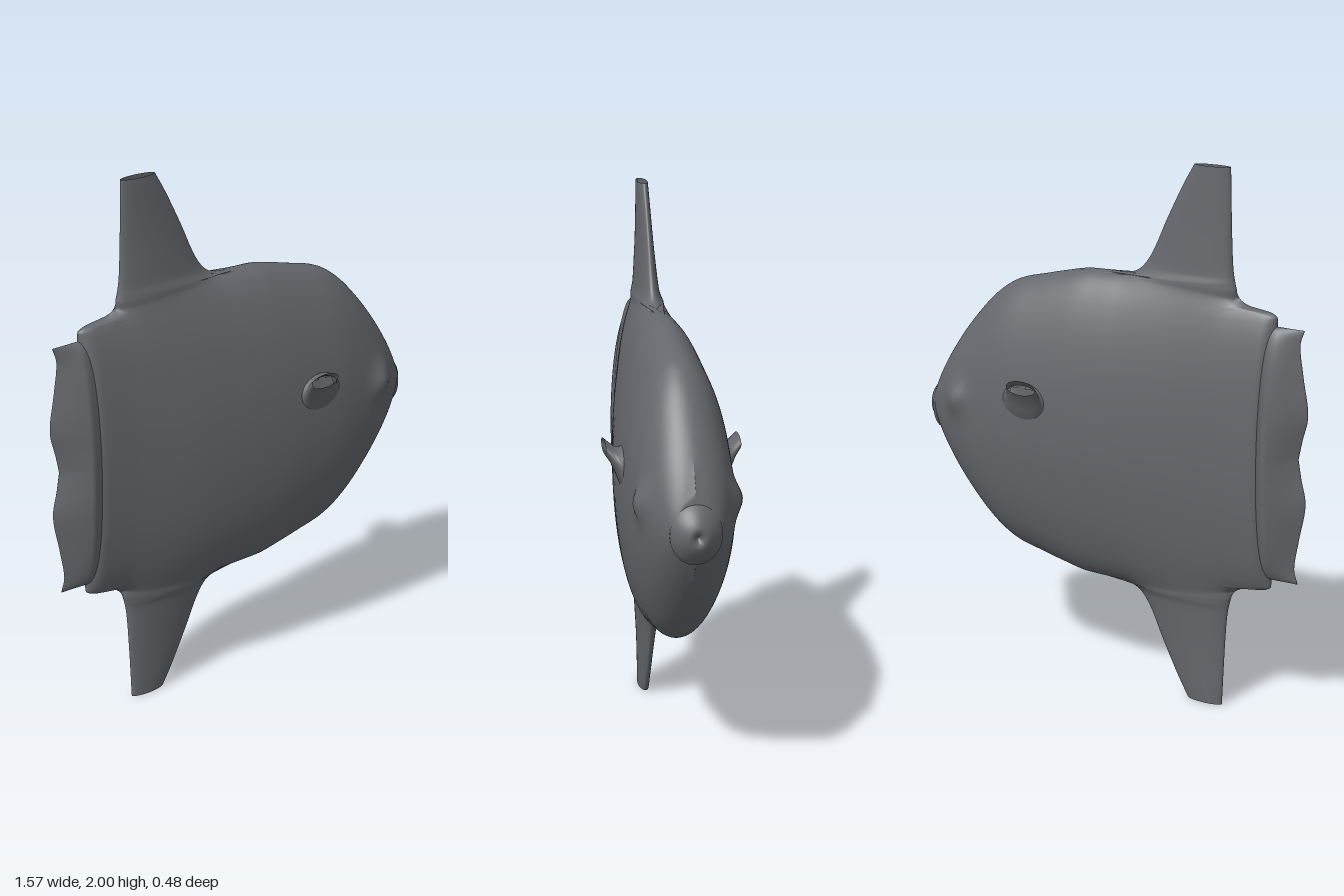
import * as THREE from 'three';

// Smooth monotone curve through [t, value] pairs
function curve(pts) {
  const n = pts.length;
  const slope = i => (pts[i + 1][1] - pts[i][1]) / (pts[i + 1][0] - pts[i][0]);
  const m = pts.map((_, i) => {
    if (i === 0) return slope(0);
    if (i === n - 1) return slope(n - 2);
    const a = slope(i - 1), b = slope(i);
    return a * b > 0 ? 2 * a * b / (a + b) : 0;
  });
  return t => {
    if (t <= pts[0][0]) return pts[0][1];
    if (t >= pts[n - 1][0]) return pts[n - 1][1];
    let i = 0;
    while (t > pts[i + 1][0]) i++;
    const h = pts[i + 1][0] - pts[i][0], s = (t - pts[i][0]) / h;
    return pts[i][1] * (1 + 2 * s) * (1 - s) ** 2 + m[i] * h * s * (1 - s) ** 2
      + pts[i + 1][1] * s * s * (3 - 2 * s) + m[i + 1] * h * s * s * (s - 1);
  };
}

// Joins closed rings of [x, y, z]; skip(x, y) leaves a quad open
function loft(rings, skip = () => false) {
  const n = rings[0].length, index = [];
  for (let j = 0; j < rings.length - 1; j++) {
    for (let i = 0; i < n; i++) {
      const k = (i + 1) % n;
      const p = rings[j][i], q = rings[j + 1][k];
      if (skip((p[0] + q[0]) / 2, (p[1] + q[1]) / 2)) continue;
      const a = j * n + i, b = j * n + k;
      index.push(a, b, b + n, a, b + n, a + n);
    }
  }
  const geo = new THREE.BufferGeometry();
  geo.setAttribute('position', new THREE.Float32BufferAttribute(rings.flat(2), 3));
  geo.setIndex(index);
  geo.computeVertexNormals();
  return geo;
}

// Outline and thickness, by distance d from the mid height or by x
const backEdge = curve([[0, -0.66], [0.495, -0.66], [0.51, -0.64], [0.52, -0.56], [0.54, -0.52],
  [0.56, -0.505], [0.6, -0.493], [0.66, -0.484], [0.8, -0.477], [1, -0.47]]);
const frontEdge = curve([[0, 0.75], [0.11, 0.73], [0.25, 0.65], [0.38, 0.55], [0.46, 0.47], [0.5, 0.41],
  [0.52, 0.36], [0.54, 0.28], [0.56, 0.2], [0.582, 0.08], [0.588, -0.07], [0.6, -0.105],
  [0.62, -0.13], [0.66, -0.16], [0.8, -0.225], [0.94, -0.295], [1, -0.33]]);
const bodyHeight = curve([[-0.66, 0.515], [-0.5, 0.545], [-0.3, 0.573], [-0.1, 0.586], [0.08, 0.583],
  [0.2, 0.56], [0.28, 0.54], [0.36, 0.52], [0.41, 0.5], [0.47, 0.46], [0.55, 0.38],
  [0.65, 0.25], [0.73, 0.11], [0.75, 0.05]]);
const bodyWidth = curve([[-0.66, 0.075], [-0.4, 0.11], [-0.2, 0.145], [0, 0.172], [0.2, 0.187],
  [0.35, 0.19], [0.5, 0.178], [0.6, 0.157], [0.66, 0.135], [0.73, 0.09], [0.76, 0.05]]);
const finWidth = curve([[0, 0.055], [0.58, 0.052], [0.62, 0.042], [0.7, 0.035], [0.8, 0.028], [1, 0.02]]);

function thickness(x, y, d, back, front) {
  const edge = Math.min(1, (x - back) / 0.05);
  const round = Math.sqrt(Math.max(0, 1 - (1 - edge) ** 2));
  const body = bodyWidth(x) * Math.sqrt(Math.max(0, 1 - (d / bodyHeight(x)) ** 2)) * round;
  const f0 = Math.max(back, -0.5), f1 = Math.min(front, -0.07);
  const s = (2 * x - f0 - f1) / (f1 - f0);
  const fin = finWidth(d) * Math.sqrt(Math.max(0, 1 - s * s));
  const eye = 0.03 * Math.exp(-(((x - 0.585) / 0.045) ** 2) - ((y - 1.06) / 0.06) ** 2);
  return Math.cbrt(body ** 3 + fin ** 3) + eye;
}

// Body with upper and lower fins, stacked in horizontal sections
function bodyGeometry() {
  const half = [];
  for (const [from, to, n] of [[1, 0.64, 14], [0.64, 0.48, 36], [0.48, 0, 26]]) {
    for (let i = 0; i < n; i++) half.push(from + (to - from) * i / n);
  }
  const heights = [...half.map(d => 1 - d), 1, ...half.map(d => 1 + d).reverse()];
  const N = 72;
  const rings = heights.map(y => {
    const d = Math.abs(y - 1), b = backEdge(d), f = frontEdge(d), ring = [];
    for (let i = 0; i < 2 * N; i++) {
      const x = b + (f - b) * (1 - Math.cos(Math.PI * i / N)) / 2;
      const z = i % N === 0 ? 0 : thickness(x, y, d, b, f);
      ring.push([x, y, i < N ? z : -z]);
    }
    return ring;
  });
  // openings behind the side fins
  return loft(rings, (x, y) => ((x - 0.265) / 0.06) ** 2 + ((y - 1.105) / 0.055) ** 2 < 1);
}

// Wavy wedge along the rear edge
function tailGeometry() {
  const wave = curve([[0, -0.755], [0.07, -0.768], [0.16, -0.787], [0.3, -0.765], [0.41, -0.75], [0.465, -0.765]]);
  const rings = [];
  for (let j = 0; j <= 64; j++) {
    const t = Math.sin((j / 64 - 0.5) * Math.PI), d = Math.abs(t) * 0.465;
    const tip = wave(d), z = 0.083 * Math.sqrt(Math.max(0, 1 - t * t));
    const side = [[tip + 0.004, z * 0.08], [(tip - 0.66) / 2, z * 0.57], [-0.672, z], [-0.655, z], [-0.61, z * 0.85]];
    const y = 1 + t * 0.465;
    rings.push([[tip, y, 0], ...side.map(([x, w]) => [x, y, w]),
      ...side.slice().reverse().map(([x, w]) => [x, y, -w])]);
  }
  return loft(rings);
}

// Short open side fin: rings of centre x, centre y, z, radius x, radius y
function sideFinGeometry(side) {
  const path = [[0.275, 1.088, 0.16, 0.11, 0.095], [0.268, 1.1, 0.188, 0.085, 0.066],
    [0.258, 1.12, 0.202, 0.074, 0.047], [0.248, 1.145, 0.22, 0.067, 0.033], [0.242, 1.168, 0.24, 0.062, 0.026]];
  return loft(path.map(([cx, cy, z, rx, ry]) => Array.from({ length: 28 }, (_, i) => {
    const a = side * i / 28 * Math.PI * 2;
    return [cx + rx * Math.cos(a), cy + ry * Math.sin(a), side * z];
  })));
}

export function createModel() {
  const skin = new THREE.MeshStandardMaterial({ color: 0x65676c, side: THREE.DoubleSide });
  skin.name = 'slate grey skin';
  const model = new THREE.Group();
  model.name = 'sunfish';
  const add = (name, geometry) => {
    const mesh = new THREE.Mesh(geometry, skin);
    mesh.name = name;
    model.add(mesh);
    return mesh;
  };

  add('bodyWithFins', bodyGeometry());
  add('tailEdge', tailGeometry());
  add('leftSideFin', sideFinGeometry(-1));
  add('rightSideFin', sideFinGeometry(1));

  // Beak-like mouth with a small dimple, turned to face +x
  const profile = [[0.085, 0.69], [0.104, 0.727], [0.105, 0.738], [0.085, 0.752], [0.062, 0.772],
    [0.042, 0.784], [0.026, 0.787], [0.014, 0.778], [0, 0.765]].map(([r, h]) => new THREE.Vector2(r, h));
  const mouth = new THREE.LatheGeometry(profile, 40);
  mouth.rotateZ(-Math.PI / 2);
  mouth.scale(1, 1, 0.86);
  add('mouth', mouth).position.y = 0.985;

  return model;
}
